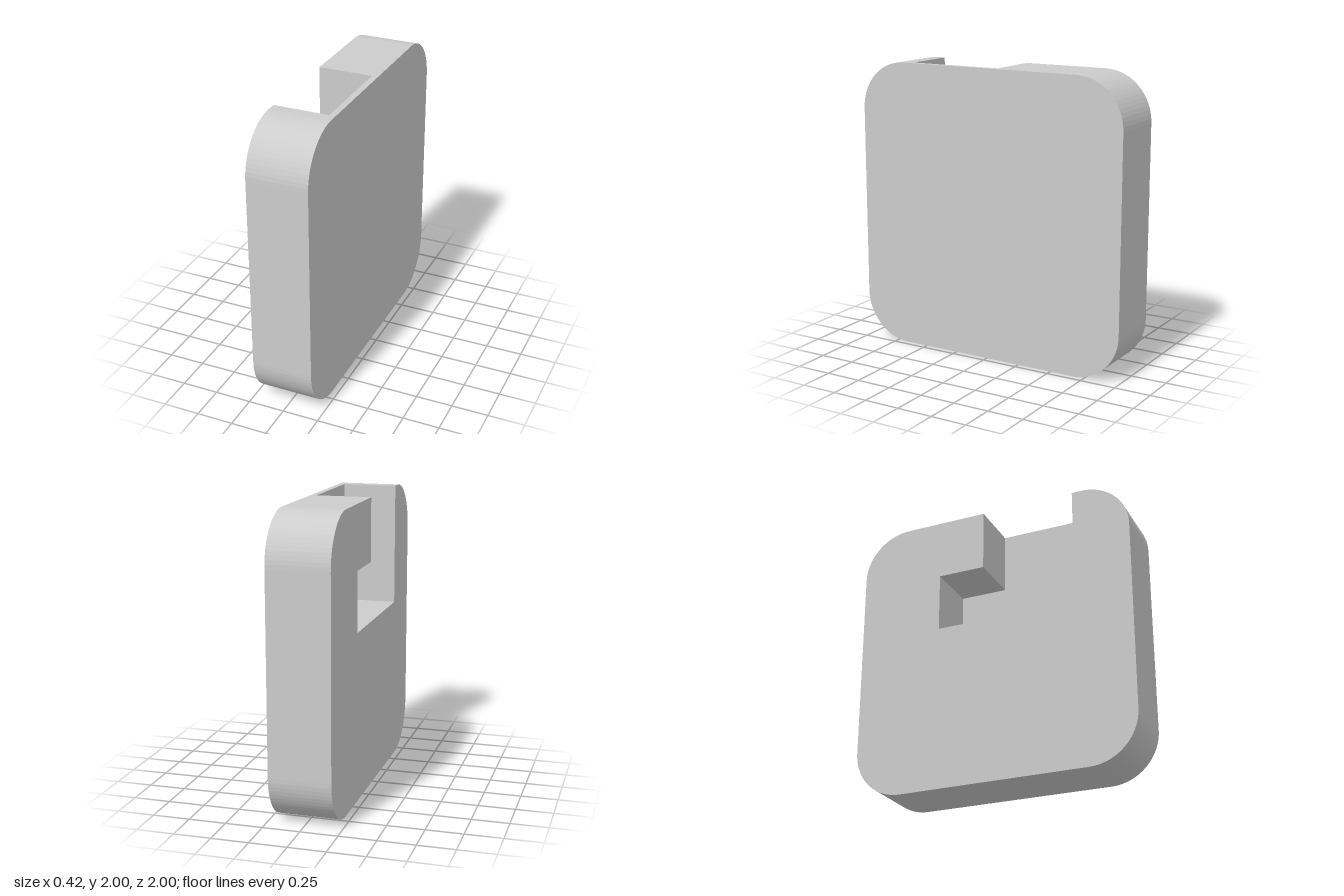
import * as THREE from 'three';

const HALF_THICKNESS = 0.208;
const POCKET_BACK = 0.166; // x of the pocket's back wall
const RADIUS = 0.335;

// Rounded square in (-z, y); extra points cut a notch into the top edge
function outline(notch = []) {
  const c = 1 - RADIUS;
  const s = new THREE.Shape();
  s.moveTo(-c, 0);
  s.lineTo(c, 0);
  s.absarc(c, RADIUS, RADIUS, -Math.PI / 2, 0, false);
  s.lineTo(1, 2 - RADIUS);
  s.absarc(c, 2 - RADIUS, RADIUS, 0, Math.PI / 2, false);
  notch.forEach(([u, y]) => s.lineTo(u, y));
  s.lineTo(-c, 2);
  s.absarc(-c, 2 - RADIUS, RADIUS, Math.PI / 2, Math.PI, false);
  s.lineTo(-1, RADIUS);
  s.absarc(-c, RADIUS, RADIUS, Math.PI, Math.PI * 1.5, false);
  return s;
}

// Extrude an outline across the thickness, from x0 to x1
function plate(name, shape, x0, x1, material) {
  const geometry = new THREE.ExtrudeGeometry(shape, {
    depth: x1 - x0, bevelEnabled: false, curveSegments: 9,
  });
  geometry.rotateY(Math.PI / 2);
  geometry.translate(x0, 0, 0);
  const mesh = new THREE.Mesh(geometry, material);
  mesh.name = name;
  return mesh;
}

export function createModel() {
  const group = new THREE.Group();
  group.name = 'notchedBlock';
  const grey = new THREE.MeshStandardMaterial({ color: 0xcccccc, flatShading: true });
  grey.name = 'lightGrey';

  // L-shaped slot, open at the top and widening towards the back below
  const slot = [
    [0.068, 2], [0.068, 1.57], [0.402, 1.57],
    [0.402, 1.16], [-0.6, 1.16], [-0.6, 2],
  ];
  group.add(
    plate('slottedBody', outline(slot), -HALF_THICKNESS, POCKET_BACK, grey),
    plate('backPlate', outline(), POCKET_BACK, HALF_THICKNESS, grey),
  );
  return group;
}
